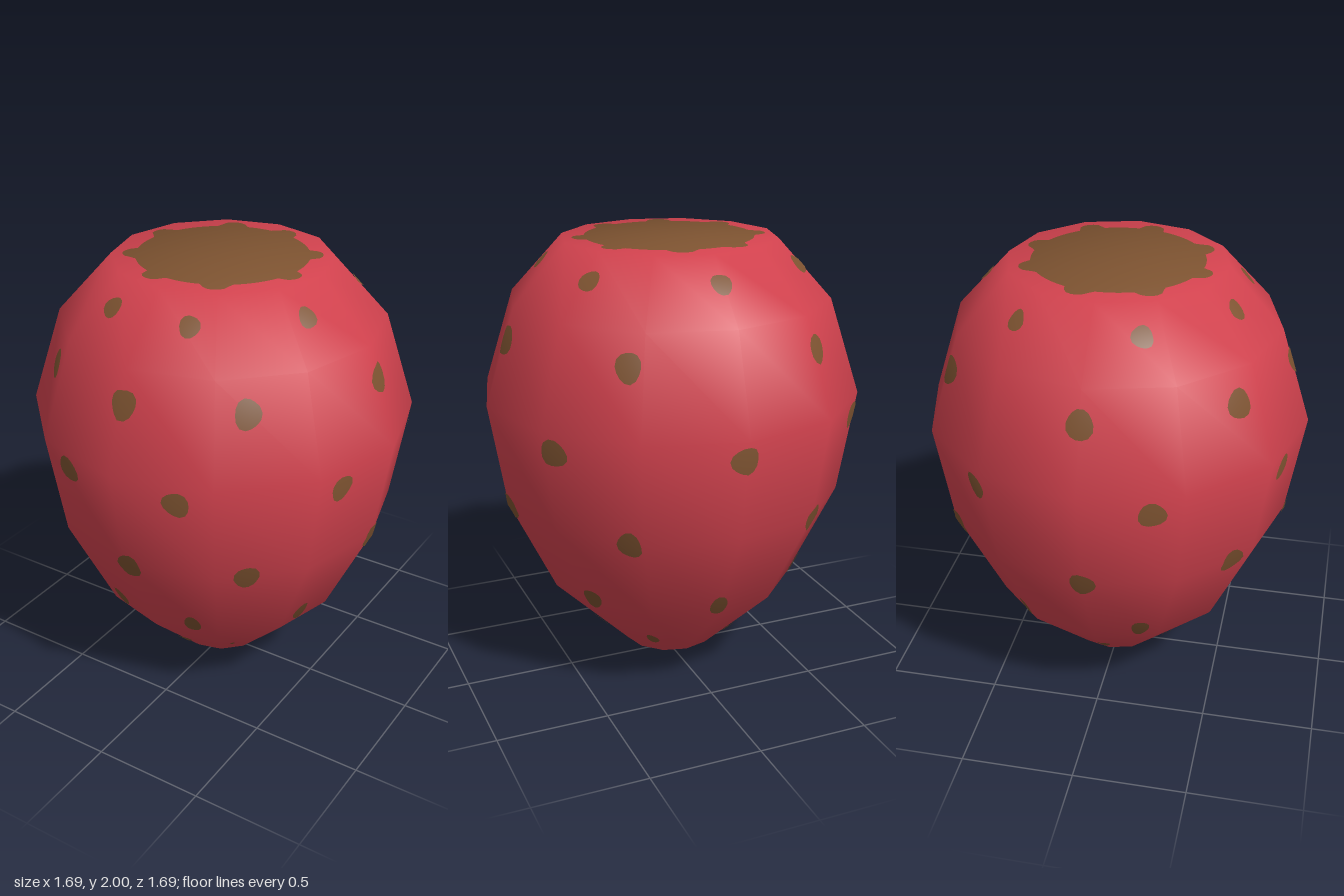
import * as THREE from 'three';

const SIDES = 12, LIFT = 0.005, RAD = Math.PI / 180;

// Half outline of the fruit: radius, height
const PROFILE = [
  [0, 0.005], [0.215, 0.08], [0.56, 0.42], [0.77, 0.86],
  [0.845, 1.32], [0.71, 1.74], [0.475, 1.997], [0, 1.997],
].map(([r, y]) => new THREE.Vector2(r, y));

// Smooth normal (radial, up) at each outline point
const slopes = PROFILE.slice(1).map((p, i) => {
  const d = p.clone().sub(PROFILE[i]);
  return new THREE.Vector2(d.y, -d.x).normalize();
});
const NORMALS = PROFILE.map((p, i) =>
  (slopes[i - 1] || slopes[0]).clone().add(slopes[i] || slopes[i - 1]).normalize());

// Point and normal on the faceted skin: k is the outline segment, t the way along it
function onSkin(k, t, theta) {
  const p = PROFILE[k].clone().lerp(PROFILE[k + 1], t);
  const n = NORMALS[k].clone().lerp(NORMALS[k + 1], t).normalize();
  const step = 2 * Math.PI / SIDES;
  const local = ((theta % step) + step) % step - step / 2;
  const r = p.x * Math.cos(step / 2) / Math.cos(local);
  const normal = new THREE.Vector3(n.x * Math.sin(theta), n.y, n.x * Math.cos(theta));
  const point = new THREE.Vector3(r * Math.sin(theta), p.y, r * Math.cos(theta));
  return { point: point.addScaledVector(normal, LIFT), normal };
}

function onSkinAtHeight(y, theta) {
  let k = 0;
  while (k < 5 && y > PROFILE[k + 1].y) k++;
  return onSkin(k, (y - PROFILE[k].y) / (PROFILE[k + 1].y - PROFILE[k].y), theta);
}

// Round painted patch; place(s, phi) maps the unit disc onto the skin
function patch(name, material, rings, segments, place) {
  const pos = [], nor = [], index = [];
  for (let i = 0; i <= rings; i++) {
    for (let j = 0; j <= segments; j++) {
      const { point, normal } = place(i / rings, j / segments * 2 * Math.PI);
      pos.push(...point.toArray());
      nor.push(...normal.toArray());
      if (i < rings && j < segments) {
        const a = i * (segments + 1) + j, b = a + segments + 1;
        index.push(a, b, b + 1, a, b + 1, a + 1);
      }
    }
  }
  const g = new THREE.BufferGeometry();
  g.setAttribute('position', new THREE.Float32BufferAttribute(pos, 3));
  g.setAttribute('normal', new THREE.Float32BufferAttribute(nor, 3));
  g.setIndex(index);
  const mesh = new THREE.Mesh(g, material);
  mesh.name = name;
  return mesh;
}

export function createModel() {
  const group = new THREE.Group();
  group.name = 'strawberry';
  const red = new THREE.MeshStandardMaterial({ color: 0xd2424e });
  red.name = 'berryRed';
  const brown = new THREE.MeshStandardMaterial({ color: 0x7c5230 });
  brown.name = 'seedBrown';

  // Fruit body
  const body = new THREE.Mesh(new THREE.LatheGeometry(PROFILE, SIDES), red);
  body.name = 'body';
  group.add(body);

  // Seeds: two alternating sets of seven around the fruit
  const setA = [-20, 19, 69, 123, 179, -124, -69];
  const setB = [-38, 1, 40, 91, 145, -148, -90];
  // height, half width, half height, angles
  const rows = [
    [0.21, 0.03, 0.038, setB],
    [0.49, 0.04, 0.051, setA],
    [0.855, 0.056, 0.062, setB],
    [1.235, 0.06, 0.06, setA],
    [1.605, 0.056, 0.06, setB],
    [1.89, 0.045, 0.035, setA],
  ];
  const seeds = new THREE.Group();
  seeds.name = 'seeds';
  rows.forEach(([y, w, h, angles], row) => {
    const k = PROFILE.findIndex((p) => p.y > y) - 1;
    const f = (y - PROFILE[k].y) / (PROFILE[k + 1].y - PROFILE[k].y);
    const radius = THREE.MathUtils.lerp(PROFILE[k].x, PROFILE[k + 1].x, f);
    angles.forEach((deg, i) => {
      const size = row === 0 && i === 2 ? 0.4 : 1;
      seeds.add(patch('seed', brown, 4, 14, (s, phi) => {
        const wobble = s * size * (1 + 0.07 * Math.sin(3 * phi + i * 2 + row));
        return onSkinAtHeight(y + h * wobble * Math.sin(phi),
          deg * RAD + w * wobble * Math.cos(phi) / radius);
      }));
    });
  });
  group.add(seeds);

  // Scalloped cap patch on the flat top
  const lobes = [-155, -104, -59, -15, 28, 78, 120, 166];
  group.add(patch('topPatch', brown, 4, 120, (s, phi) => {
    let r = 0.37;
    for (const deg of lobes) {
      const d = Math.atan2(Math.sin(phi - deg * RAD), Math.cos(phi - deg * RAD)) / (8.5 * RAD);
      r += 0.055 * Math.sqrt(Math.max(0, 1 - d * d));
    }
    const skin = onSkin(6, 1, phi);
    skin.normal = onSkin(6, 1 - s * r / 0.475, phi).normal;
    skin.point.set(s * r * Math.sin(phi), 2, s * r * Math.cos(phi));
    return skin;
  }));

  // Dark tip at the bottom
  group.add(patch('tipPatch', brown, 2, 24, (s, phi) => onSkin(0, s * 0.56, -phi)));

  return group;
}
